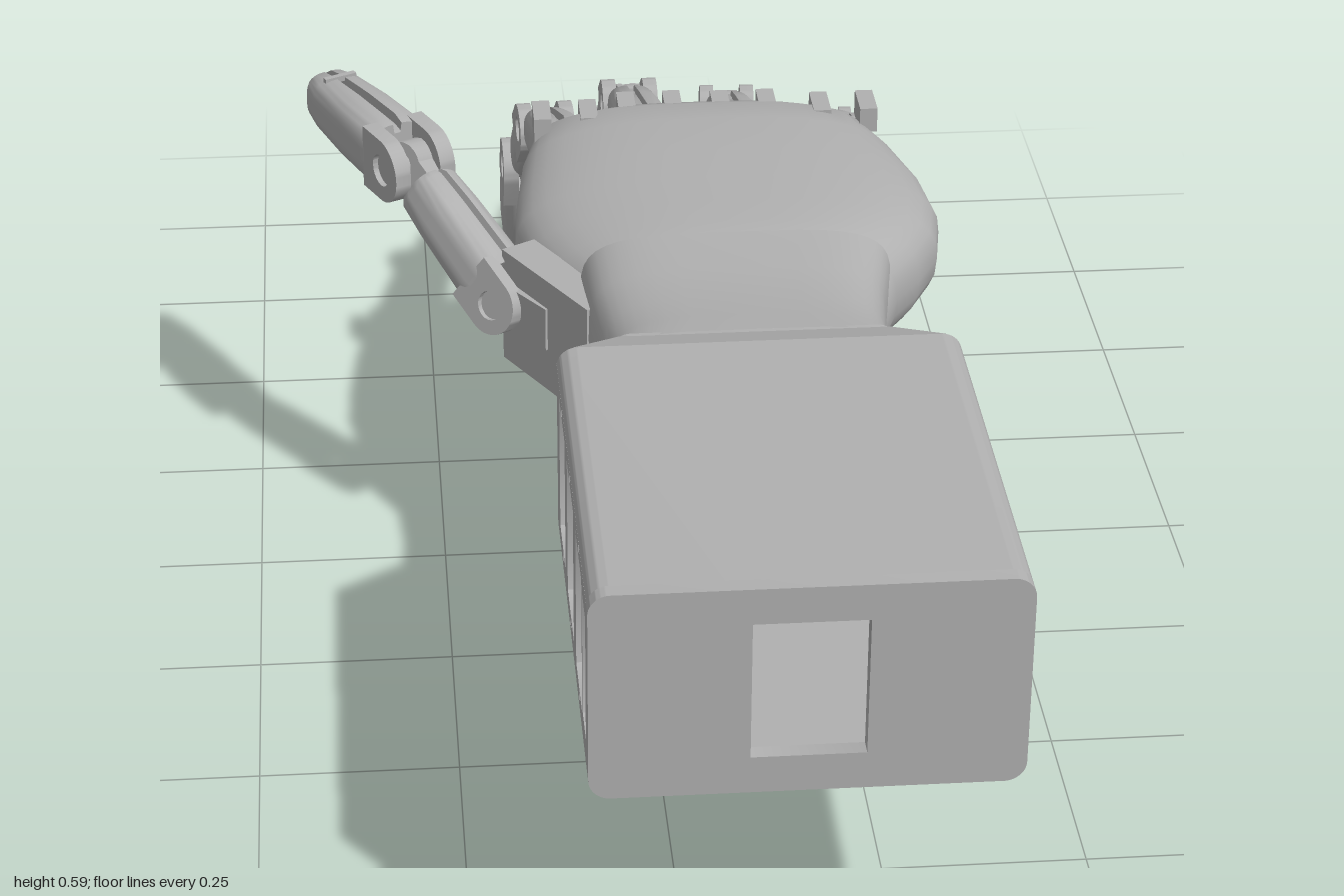
import * as THREE from 'three';
import { toCreasedNormals } from 'three/addons/utils/BufferGeometryUtils.js';
import { ConvexGeometry } from 'three/addons/geometries/ConvexGeometry.js';

const V = (x, y, z) => new THREE.Vector3(x, y, z);
// double-sided because the forearm and wrist are open shells
const grey = new THREE.MeshStandardMaterial({ color: 0xb0b0b0, side: THREE.DoubleSide });
grey.name = 'light grey plastic';

function add(parent, name, geometry, x = 0, y = 0, z = 0) {
  const m = new THREE.Mesh(geometry, grey);
  m.name = name;
  m.position.set(x, y, z);
  parent.add(m);
  return m;
}

// Closed superellipse section; a notch cuts a groove into its top
function section([z, x0, x1, y0, y1, n = 2.6], notch) {
  const cx = (x0 + x1) / 2, cy = (y0 + y1) / 2, hx = (x1 - x0) / 2, hy = (y1 - y0) / 2;
  const pts = [], N = 40, gap = notch ? 0.06 : 0;
  const pow = v => Math.sign(v) * Math.abs(v) ** (2 / n);
  for (let i = 0; i < N; i++) {
    const a = Math.PI / 2 + gap + (i / (notch ? N - 1 : N)) * (Math.PI * 2 - 2 * gap);
    pts.push([cx + hx * pow(Math.cos(a)), cy + hy * pow(Math.sin(a)), z]);
  }
  if (notch) {
    const l = pts[0][0], r = pts[N - 1][0];
    pts.push([r, cy + hy * 0.68, z], [l, cy + hy * 0.68, z]);
  }
  return pts;
}

// Skin over sections listed by rising z: [z, x0, x1, y0, y1, exponent]
function loft(rings, { notch = false, capEnd = true } = {}) {
  const secs = rings.map(r => section(r, notch)), n = secs[0].length;
  const pos = secs.flat(2), idx = [];
  for (let i = 0; i < secs.length - 1; i++) for (let j = 0; j < n; j++) {
    const a = i * n + j, b = i * n + (j + 1) % n;
    idx.push(a, b, b + n, a, b + n, a + n);
  }
  const cap = (k, flip) => {
    const [z, x0, x1, y0, y1] = rings[k], c = pos.length / 3;
    pos.push((x0 + x1) / 2, (y0 + y1) / 2, z);
    for (let j = 0; j < n; j++) {
      const a = k * n + j, b = k * n + (j + 1) % n;
      idx.push(c, flip ? b : a, flip ? a : b);
    }
  };
  cap(0, true);
  if (capEnd) cap(rings.length - 1, false);
  const g = new THREE.BufferGeometry();
  g.setAttribute('position', new THREE.Float32BufferAttribute(pos, 3));
  g.setIndex(idx);
  return toCreasedNormals(g, 0.6);
}

function rectPath(x0, x1, y0, y1, r = 0.0001, T = THREE.Path) {
  const p = new T();
  p.absarc(x1 - r, y1 - r, r, 0, Math.PI / 2).absarc(x0 + r, y1 - r, r, Math.PI / 2, Math.PI);
  p.absarc(x0 + r, y0 + r, r, Math.PI, Math.PI * 1.5).absarc(x1 - r, y0 + r, r, Math.PI * 1.5, Math.PI * 2);
  p.closePath();
  return p;
}
const circle = (x, y, r) => new THREE.Path().absarc(x, y, r, 0, Math.PI * 2, true);
const extrude = (s, depth) => toCreasedNormals(
  new THREE.ExtrudeGeometry(s, { depth, bevelEnabled: false, curveSegments: 10 }), 0.6);
// Plate drawn in (z, y), with its thickness centred on x
const sidePlate = (s, depth) => extrude(s, depth).translate(0, 0, -depth / 2).rotateY(-Math.PI / 2);

function buildForearm(root) {
  const g = new THREE.Group();
  g.name = 'forearm';
  root.add(g);
  const cx = 0.125, cy = 0.4385;

  // front wall with its square opening
  const front = rectPath(-0.12, 0.37, 0.305, 0.572, 0.025, THREE.Shape);
  front.holes.push(rectPath(0.06, 0.19, 0.352, 0.527));
  add(g, 'frontWall', extrude(front, 0.02), 0, 0, 0.98);

  // top and bottom covers, each with a sloped end
  const cover = new THREE.Shape();
  cover.moveTo(-0.245, 0.106).lineTo(0.245, 0.106).absarc(0.22, 0.1085, 0.025, 0, Math.PI / 2)
    .absarc(-0.22, 0.1085, 0.025, Math.PI / 2, Math.PI).closePath();
  const slope = [];
  for (const s of [-1, 1]) slope.push(
    V(s * 0.245, 0.1, 0.45), V(s * 0.245, 0.112, 0.45), V(s * 0.225, 0.1335, 0.45),
    V(s * 0.18, 0.085, 0.39), V(s * 0.18, 0.1, 0.39), V(s * 0.165, 0.113, 0.39));
  for (const [name, turn] of [['top', 0], ['bottom', Math.PI]]) {
    add(g, name + 'Cover', extrude(cover, 0.53), cx, cy, 0.45).rotation.z = turn;
    add(g, name + 'Slope', new ConvexGeometry(slope), cx, cy, 0).rotation.z = turn;
  }

  // side walls with windows and screw holes, then slanted window frames
  const wall = rectPath(0.45, 0.98, 0.328, 0.549, 0.0001, THREE.Shape);
  wall.holes.push(rectPath(0.91, 0.963, 0.36, 0.52));
  for (const [a, b] of [[0.797, 0.9], [0.642, 0.754], [0.497, 0.6]]) {
    wall.holes.push(rectPath(a, b, 0.352, 0.53));
    for (const y of [0.34, 0.54]) wall.holes.push(circle((a + b) / 2, y, 0.006));
  }
  const frame = rectPath(0, 0.0885, 0.335, 0.542, 0.0001, THREE.Shape);
  frame.holes.push(rectPath(0.012, 0.072, 0.405, 0.527));
  for (const s of [-1, 1]) {
    add(g, 'sideWall', sidePlate(wall, 0.016), cx + s * 0.237, 0, 0);
    add(g, 'slantedFrame', sidePlate(frame, 0.012), cx + s * 0.239, 0, 0.452)
      .rotation.y = Math.atan2(-s * 0.065, -0.06);
  }

  // rear bulkhead, wrist bore and the tendon guide inside it
  const end = rectPath(-0.055, 0.305, 0.33, 0.552, 0.03, THREE.Shape);
  end.holes.push(circle(cx, 0.44, 0.088));
  add(g, 'rearWall', extrude(end, 0.012), 0, 0, 0.385);
  add(g, 'wristBore', new THREE.CylinderGeometry(0.088, 0.088, 0.14, 32, 1, true).rotateX(Math.PI / 2), cx, 0.44, 0.32);
  const guide = new THREE.Shape().absarc(0, 0, 0.088, 0, Math.PI * 2);
  for (const x of [-0.06, -0.02, 0.02, 0.06]) guide.holes.push(circle(x, -0.015, 0.012));
  add(g, 'tendonGuide', extrude(guide, 0.01), cx, 0.44, 0.25);
}

function buildPalm(root) {
  add(root, 'wristCuff', loft([
    [0.11, -0.07, 0.332, 0.36, 0.543, 4], [0.2, -0.065, 0.314, 0.348, 0.538, 4],
    [0.28, -0.058, 0.304, 0.342, 0.541, 4], [0.34, -0.056, 0.304, 0.335, 0.549, 4],
    [0.39, -0.055, 0.305, 0.33, 0.555, 5]], { capEnd: false }));
  add(root, 'palm', loft([
    [-0.35, 0.0, 0.25, 0.40, 0.495, 3.5], [-0.335, -0.07, 0.315, 0.385, 0.515, 3.2],
    [-0.31, -0.11, 0.355, 0.375, 0.525, 3], [-0.25, -0.127, 0.385, 0.362, 0.531],
    [-0.15, -0.14, 0.413, 0.35, 0.533], [-0.07, -0.145, 0.422, 0.342, 0.533],
    [0, -0.132, 0.41, 0.336, 0.533], [0.06, -0.108, 0.378, 0.335, 0.533],
    [0.11, -0.08, 0.342, 0.338, 0.53], [0.16, -0.068, 0.322, 0.345, 0.515],
    [0.2, -0.05, 0.295, 0.36, 0.48]]));
}

// One finger bone from a to b: fork at its base, then body, then tongue or rounded tip
function segment(parent, name, a, b, up, w, t, tip) {
  const g = new THREE.Group(), L = a.distanceTo(b), hw = w / 2, ht = t / 2, r = ht * 0.92;
  g.name = name;
  g.position.copy(a);
  const zd = b.clone().sub(a).normalize(), xd = up.clone().cross(zd).normalize();
  g.quaternion.setFromRotationMatrix(new THREE.Matrix4().makeBasis(xd, zd.clone().cross(xd), zd));
  parent.add(g);

  const ring = (z, k, m = k) => [z, -hw * k, hw * k, -ht * m, ht * m, 3];
  const rings = tip
    ? [ring(0.035, 0.9), ring(0.055, 1), ring(L * 0.5, 0.96), ring(L * 0.8, 0.84),
       ring(L * 0.92, 0.72), ring(L * 0.98, 0.52, 0.5), ring(L, 0.25)]
    : [ring(0.035, 0.95), ring(0.05, 1), ring(L * 0.6, 0.94), ring(L - 0.045, 0.86), ring(L - 0.036, 0.74)];
  add(g, tip ? 'fingertip' : 'boneBody', loft(rings, { notch: true }));

  // fork cheeks with pin holes
  const cheek = new THREE.Shape();
  cheek.moveTo(0.05, -r).lineTo(0.05, r).lineTo(0, r).absarc(0, 0, r, Math.PI / 2, Math.PI * 1.5).closePath();
  cheek.holes.push(circle(0, 0, r * 0.5));
  for (const s of [-1, 1]) add(g, 'forkCheek', sidePlate(cheek, w * 0.24), s * w * 0.36, 0, 0);
  add(g, 'hingePin', new THREE.CylinderGeometry(r * 0.5, r * 0.5, w * 0.8, 16).rotateZ(Math.PI / 2));
  if (tip) {
    // fingernail edge across the back of the tip
    add(g, 'nailRidge', new THREE.BoxGeometry(w * 0.5, 0.008, 0.008), 0, ht * 0.83, L * 0.78);
  } else {
    tongue(g, w * 0.42, r * 0.8, L);
  }
}

function tongue(parent, w, r, z) {
  add(parent, 'tongue', new THREE.BoxGeometry(w, r * 1.7, 0.06), 0, 0, z - 0.03);
  add(parent, 'tongueEye', new THREE.CylinderGeometry(r, r, w, 20).rotateZ(Math.PI / 2), 0, 0, z);
}

function buildFingers(root) {
  // name, base x, tip x, scale, then [z, y] of knuckle, two joints and tip
  const fingers = [
    ['indexFinger', -0.063, -0.09, 1, [[-0.35, 0.445], [-0.62, 0.345], [-0.765, 0.215], [-0.86, 0.008]]],
    ['middleFinger', 0.055, 0.05, 1, [[-0.37, 0.445], [-0.68, 0.35], [-0.85, 0.22], [-0.975, 0.022]]],
    ['ringFinger', 0.185, 0.206, 0.97, [[-0.365, 0.445], [-0.65, 0.35], [-0.8, 0.218], [-0.905, 0.03]]],
    ['littleFinger', 0.322, 0.348, 0.9, [[-0.35, 0.445], [-0.583, 0.345], [-0.685, 0.22], [-0.765, 0.043]]],
  ];
  const up = V(0, 1, 0);
  for (const [name, x0, x1, k, path] of fingers) {
    const g = new THREE.Group();
    g.name = name;
    root.add(g);
    const p = path.map(([z, y], i) => V(x0 + (x1 - x0) * Math.min(1, i * 0.45), y, z));
    segment(g, 'proximalBone', p[0], p[1], up, 0.08 * k, 0.078 * k);
    segment(g, 'middleBone', p[1], p[2], up, 0.084 * k, 0.08 * k);
    segment(g, 'distalBone', p[2], p[3], up, 0.095 * k, 0.088 * k, true);
    // knuckle mount on the palm edge
    add(g, 'knuckleMount', new THREE.BoxGeometry(0.034 * k, 0.055, 0.09), x0, 0.445, p[0].z + 0.045);
    add(g, 'knuckleEye', new THREE.CylinderGeometry(0.028, 0.028, 0.034 * k, 20).rotateZ(Math.PI / 2), x0, 0.445, p[0].z);
    for (const s of [-1, 1])
      add(g, 'knuckleTooth', new THREE.BoxGeometry(0.024, 0.035, 0.06), x0 + s * 0.032, 0.502, p[0].z + 0.035);
  }
}

function buildThumb(root) {
  const g = new THREE.Group();
  g.name = 'thumb';
  root.add(g);
  const base = V(-0.158, 0.415, 0.035), joint = V(-0.28, 0.545, -0.115), tip = V(-0.395, 0.55, -0.345);
  // slanted mounting block on the side of the palm
  add(g, 'thumbMount', new THREE.BoxGeometry(0.05, 0.16, 0.2), -0.095, 0.405, 0.1).rotation.y = 0.52;
  add(g, 'thumbHinge', new THREE.BoxGeometry(0.034, 0.06, 0.1), -0.13, 0.415, 0.07).rotation.y = 0.6;
  segment(g, 'thumbProximalBone', base, joint, V(0.3, 1, 0), 0.085, 0.085);
  segment(g, 'thumbDistalBone', joint, tip, V(0, 1, 0), 0.092, 0.095, true);
}

export function createModel() {
  const root = new THREE.Group();
  root.name = 'roboticHand';
  buildForearm(root);
  buildPalm(root);
  buildFingers(root);
  buildThumb(root);
  return root;
}
